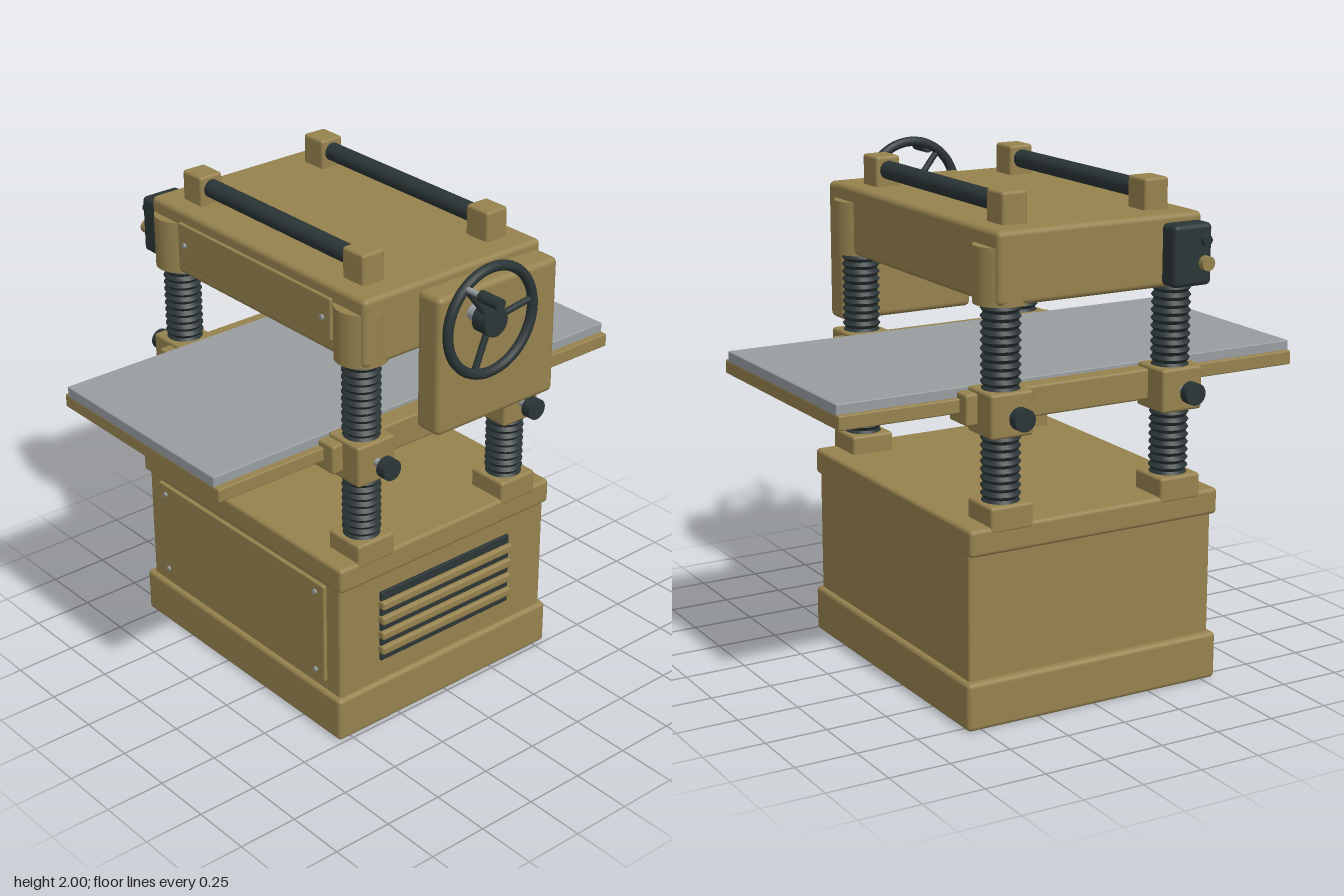
import * as THREE from 'three';
import { toCreasedNormals } from 'three/addons/utils/BufferGeometryUtils.js';
import { RoundedBoxGeometry } from 'three/addons/geometries/RoundedBoxGeometry.js';

const material = (name, color) => {
  const m = new THREE.MeshStandardMaterial({ color });
  m.name = name;
  return m;
};

export function createModel() {
  const paint = material('ochre paint', 0x96824e);
  const dark = material('dark iron', 0x2b3536);
  const steel = material('steel', 0x989da0);
  const model = new THREE.Group();
  model.name = 'thicknessPlaner';

  const add = (name, geometry, mat, parent = model) => {
    const mesh = new THREE.Mesh(geometry, mat);
    mesh.name = name;
    parent.add(mesh);
    return mesh;
  };
  // Box given by its limits on each axis, with softened edges
  const box = (name, mat, [x0, x1], [y0, y1], [z0, z1], r = 0.012) => {
    const s = [x1 - x0, y1 - y0, z1 - z0];
    const g = new RoundedBoxGeometry(...s, 3, Math.min(r, Math.min(...s) * 0.45));
    const mesh = add(name, g, mat);
    mesh.position.set((x0 + x1) / 2, (y0 + y1) / 2, (z0 + z1) / 2);
    return mesh;
  };
  // Round bar along x
  const barX = (name, mat, x0, x1, y, z, r, parent = model) => {
    const g = new THREE.CylinderGeometry(r, r, Math.abs(x1 - x0), 28).rotateZ(Math.PI / 2);
    const mesh = add(name, g, mat, parent);
    mesh.position.set((x0 + x1) / 2, y, z);
    return mesh;
  };
  // Small round screw head facing the front
  const screw = (x, y, z) => {
    const g = new THREE.CylinderGeometry(0.01, 0.01, 0.012, 16).rotateX(Math.PI / 2);
    add('screw', g, steel).position.set(x, y, z);
  };

  // Cabinet
  box('plinth', paint, [-0.8, 0.49], [0, 0.19], [-0.56, 0.56], 0.018);
  box('cabinet', paint, [-0.77, 0.47], [0.17, 0.7], [-0.54, 0.54]);
  box('cabinetTop', paint, [-0.8, 0.49], [0.68, 0.785], [-0.55, 0.55], 0.016);
  box('accessPanel', paint, [-0.69, 0.39], [0.23, 0.67], [0.52, 0.555], 0.006);
  for (const x of [-0.64, 0.34]) for (const y of [0.27, 0.63]) screw(x, y, 0.558);

  // Louvred vent
  box('ventOpening', dark, [0.44, 0.483], [0.285, 0.6], [-0.34, 0.34], 0.003);
  for (let i = 0; i < 4; i++) {
    const y = 0.337 + i * 0.069;
    box('ventSlat', paint, [0.46, 0.502], [y - 0.019, y + 0.019], [-0.345, 0.345], 0.01);
  }

  // Threaded column profile
  const y0 = 0.78, y1 = 1.63, turns = 28, pitch = (y1 - y0) / turns;
  const profile = [new THREE.Vector2(0.064, y0)];
  for (let i = 0; i < turns; i++) {
    profile.push(new THREE.Vector2(0.076, y0 + (i + 0.5) * pitch));
    profile.push(new THREE.Vector2(0.064, y0 + (i + 1) * pitch));
  }
  const threadGeometry = toCreasedNormals(new THREE.LatheGeometry(profile, 28), 0.5);

  // Four corner columns with feet, clamps, lock knobs and sleeves
  for (const side of [-1, 1]) {
    const x = -0.155 + side * 0.557;
    for (const end of [-1, 1]) {
      const z = end * 0.373;
      const xs = [x - 0.09, x + 0.09], zs = [z - 0.09, z + 0.09];
      add('threadedColumn', threadGeometry, dark).position.set(x, 0, z);
      box('columnFoot', paint, xs, [0.76, 0.86], zs);
      box('tableClamp', paint, xs, [1.115, 1.285], zs);
      const out = x + side * 0.085;
      barX('knobShaft', steel, out, out + side * 0.06, 1.2, z, 0.016);
      barX('lockKnob', dark, out + side * 0.05, out + side * 0.093, 1.2, z, 0.043);
      const sleeve = new THREE.CylinderGeometry(0.103, 0.103, 0.215, 40);
      add('columnSleeve', sleeve, paint).position.set(x, 1.71, z);
    }
    // Side rail carrying the table
    const rx = -0.15 + side * 0.485;
    box('tableRail', paint, [rx - 0.065, rx + 0.065], [1.15, 1.27], [-0.51, 0.51], 0.01);
  }

  // Table bed and its two extension trays
  box('tableBed', steel, [-0.63, 0.315], [1.24, 1.285], [-1, 1], 0.005);
  for (const e of [-1, 1]) {
    box('extensionTray', paint, [-0.65, 0.345], [1.19, 1.246],
      e < 0 ? [-1, -0.45] : [0.45, 1], 0.006);
  }

  // Cutter head housing
  box('headHousing', paint, [-0.81, 0.5], [1.605, 1.88], [-0.44, 0.44], 0.022);
  box('headPanel', paint, [-0.62, 0.32], [1.66, 1.83], [0.42, 0.452], 0.006);
  for (const x of [-0.575, 0.275]) screw(x, 1.745, 0.455);
  box('cutterOpening', dark, [-0.6, 0.3], [1.587, 1.63], [-0.3, 0.3], 0.004);

  // Top carrying rollers
  for (const z of [-0.308, 0.305]) {
    barX('topRoller', dark, -0.6, 0.29, 1.945, z, 0.037);
    for (const x of [-0.645, 0.335]) {
      box('rollerBlock', paint, [x - 0.06, x + 0.06], [1.86, 2], [z - 0.053, z + 0.053]);
    }
  }

  // Drive cover
  box('driveCover', paint, [0.51, 0.635], [1.297, 1.862], [-0.4, 0.2], 0.024);
  box('driveMount', paint, [0.48, 0.53], [1.64, 1.84], [-0.34, 0.14]);

  // Handwheel
  const wheel = new THREE.Group();
  wheel.name = 'handwheel';
  wheel.position.set(0.73, 1.768, 0.035);
  model.add(wheel);
  add('rim', new THREE.TorusGeometry(0.21, 0.02, 14, 56).rotateY(Math.PI / 2), dark, wheel);
  barX('hub', dark, -0.04, 0.03, 0, 0, 0.057, wheel);
  barX('axle', steel, -0.11, -0.03, 0, 0, 0.03, wheel);
  for (const degrees of [8, 128, 248]) {
    const a = THREE.MathUtils.degToRad(degrees);
    const spoke = add('spoke', new THREE.CylinderGeometry(0.013, 0.013, 0.2, 14), dark, wheel);
    spoke.position.set(0, Math.sin(a) * 0.11, -Math.cos(a) * 0.11);
    spoke.rotation.x = a - Math.PI / 2;
    spoke.rotation.x = Math.atan2(-Math.cos(a), Math.sin(a));
  }
  barX('crankPin', steel, 0, 0.1, 0.165, 0.13, 0.011, wheel);
  barX('crankGrip', dark, 0.085, 0.185, 0.165, 0.13, 0.023, wheel);

  // Switch box
  box('switchBox', dark, [-0.893, -0.8], [1.615, 1.85], [0.26, 0.43], 0.02);
  barX('startButton', dark, -0.912, -0.88, 1.788, 0.395, 0.02);
  barX('stopButton', paint, -0.92, -0.88, 1.702, 0.395, 0.028);

  return model;
}
